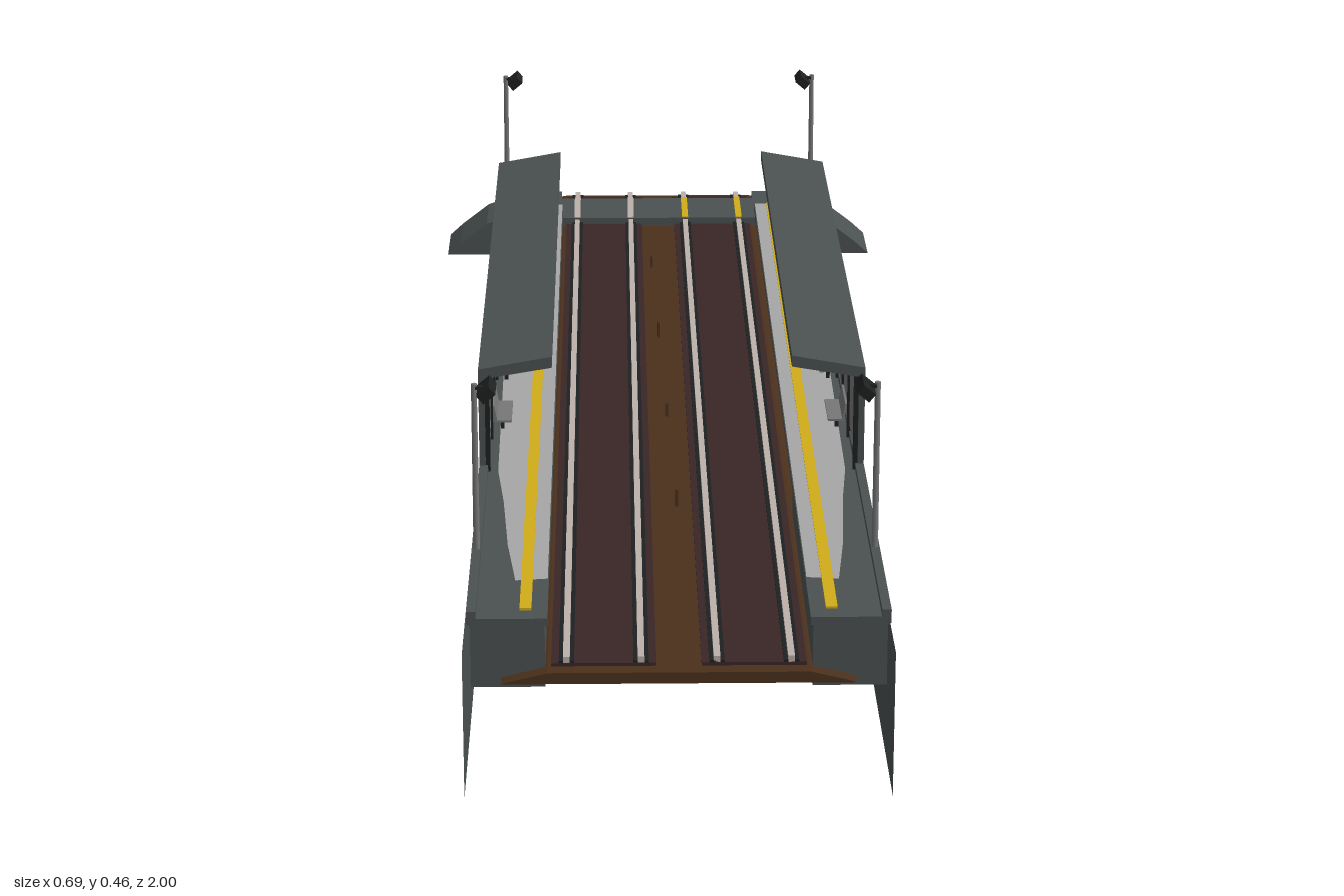
import * as THREE from 'three';

const mat = (name, color, side = THREE.FrontSide) => {
  const m = new THREE.MeshStandardMaterial({ color, side });
  m.name = name;
  return m;
};

export function createModel() {
  const concrete = mat('dark concrete', 0x4b5151);
  const wallMat = mat('wall concrete', 0x4a5050, THREE.DoubleSide);
  const paving = mat('pale paving', 0xa6a6a6);
  const yellow = mat('safety yellow', 0xd0ac18);
  const earth = mat('brown ballast', 0x4a301c);
  const maroon = mat('maroon track bed', 0x3a2526);
  const steel = mat('rail steel', 0xbcb0aa);
  const black = mat('black metal', 0x1e2121);
  const panelGrey = mat('panel grey', 0x777777);

  const model = new THREE.Group();
  model.name = 'railwayStation';
  const add = (parent, name, geo, material) => {
    const m = new THREE.Mesh(geo, material);
    m.name = name;
    parent.add(m);
    return m;
  };
  // Box given by its limits on each axis
  const box = (parent, name, material, x0, x1, y0, y1, z0, z1) => {
    const m = add(parent, name, new THREE.BoxGeometry(x1 - x0, y1 - y0, z1 - z0), material);
    m.position.set((x0 + x1) / 2, (y0 + y1) / 2, (z0 + z1) / 2);
    return m;
  };
  // Section in x and y, drawn out along z
  const section = (parent, name, material, pts, z0, z1) => {
    const shape = new THREE.Shape(pts.map(p => new THREE.Vector2(...p)));
    const m = add(parent, name, new THREE.ExtrudeGeometry(shape, { depth: z1 - z0, bevelEnabled: false }), material);
    m.position.z = z0;
    return m;
  };

  // Track bed
  section(model, 'ballast', earth, [[-0.21, 0.157], [0.21, 0.157], [0.2, 0.16], [0.155, 0.171], [-0.155, 0.171], [-0.2, 0.16]], -1, 1);
  for (const c of [-0.089, 0.089]) {
    box(model, 'trackBed', maroon, c - 0.062, c + 0.062, 0.168, 0.175, -0.98, 0.98);
    for (const s of [-0.044, 0.044]) {
      box(model, 'rail', steel, c + s - 0.004, c + s + 0.004, 0.175, 0.183, -0.98, 0.98);
      box(model, 'railFoot', black, c + s - 0.009, c + s + 0.009, 0.175, 0.178, -0.98, 0.98);
      // Flangeway lines over the crossing
      box(model, 'crossingLine', c > 0 ? yellow : steel, c + s - 0.005, c + s + 0.005, 0.184, 0.187, -0.935, -0.82);
    }
  }
  // Small posts between the tracks
  for (let i = 0; i < 4; i++) {
    const x = -0.014 + i * 0.007;
    box(model, 'trackMarker', earth, x - 0.002, x + 0.002, 0.17, 0.19 + (i % 2) * 0.004, -0.6 + i * 0.35, -0.59 + i * 0.35);
  }

  // Level crossing with sloping ends
  section(model, 'levelCrossing', concrete, [[-0.347, 0.123], [0.347, 0.123], [0.325, 0.143], [0.282, 0.176], [0.257, 0.185],
    [-0.257, 0.185], [-0.282, 0.176], [-0.325, 0.143]], -0.935, -0.82);

  // One side of the station on +x; the other is mirrored
  const buildSide = (s) => {
    const side = new THREE.Group();
    side.name = s > 0 ? 'leftSide' : 'rightSide';
    model.add(side);
    const bx = (name, m, x0, x1, ...r) => s > 0 ? box(side, name, m, x0, x1, ...r) : box(side, name, m, -x1, -x0, ...r);
    const sec = (name, m, pts, z0, z1) =>
      section(side, name, m, pts.map(([x, y]) => [s * x, y]), z0, z1);

    // Retaining wall
    const wall = add(side, 'retainingWall', new THREE.PlaneGeometry(1.96, 0.186), wallMat);
    wall.rotation.y = s * Math.PI / 2;
    wall.position.set(s * 0.256, 0.093, 0);

    // Platform deck, kerb and hollow front block
    bx('platformDeck', concrete, 0.155, 0.247, 0.222, 0.232, -0.735, 0.98);
    bx('platformKerb', concrete, 0.239, 0.25, 0.224, 0.241, -0.735, 0.98);
    bx('blockOuterWall', concrete, 0.24, 0.246, 0.145, 0.223, 0.49, 0.98);
    bx('blockInnerWall', concrete, 0.158, 0.164, 0.145, 0.223, 0.49, 0.98);
    for (const z of [0.49, 0.972]) bx('blockEnd', concrete, 0.164, 0.24, 0.145, 0.223, z, z + 0.008);

    // Supports under the raised deck
    for (const z of [0.03, -0.705]) {
      bx('platformPillar', concrete, 0.238, 0.255, 0.083, 0.223, z - 0.02, z + 0.02);
      bx('platformBeam', concrete, 0.165, 0.238, 0.15, 0.223, z - 0.018, z + 0.018);
    }

    // Stairs down to the crossing, and the block beyond it
    for (let i = 0; i < 4; i++) {
      const top = 0.222 - i * 0.01, z = -0.735 - i * 0.021;
      bx('step', concrete, 0.16, 0.24, top - 0.01, top, z - 0.022, z);
    }
    bx('endBlock', concrete, 0.16, 0.255, 0.145, 0.184, -0.98, -0.935);

    // Paving and yellow line
    const pave = new THREE.Shape([[0.156, -0.86], [0.195, -0.865], [0.207, -0.75], [0.216, -0.6], [0.226, -0.49],
      [0.234, 0.5], [0.226, 0.735], [0.156, 0.735]].map(([x, y]) => new THREE.Vector2(s * x, y)));
    const p = add(side, 'paving', new THREE.ShapeGeometry(pave), paving);
    p.rotation.x = -Math.PI / 2;
    p.position.y = 0.2335;
    bx('safetyLine', yellow, 0.174, 0.188, 0.232, 0.235, -0.735, 0.955);

    // Shelter
    bx('shelterBack', concrete, 0.242, 0.25, 0.232, 0.372, -0.49, 0.49);
    bx('shelterPanel', panelGrey, 0.239, 0.242, 0.25, 0.355, -0.48, 0.48);
    sec('shelterRoof', concrete, [[0.25, 0.359], [0.25, 0.373], [0.155, 0.39], [0.155, 0.375]], -0.49, 0.49);
    for (let i = 0; i <= 8; i++) {
      const z = -0.484 + i * 0.121;
      bx('shelterPost', black, 0.236, 0.242, 0.232, 0.362, z - 0.004, z + 0.004);
    }
    for (let i = 0; i < 6; i++) {
      const z = -0.4 + i * 0.16;
      bx('roofLight', black, 0.158, 0.164, 0.366, 0.375, z - 0.03, z + 0.03);
    }

    // Benches
    for (const z of [-0.3, -0.1, 0.1, 0.3]) {
      bx('benchSeat', panelGrey, 0.212, 0.234, 0.246, 0.249, z - 0.04, z + 0.04);
      sec('benchBack', panelGrey, [[0.231, 0.248], [0.234, 0.248], [0.238, 0.27], [0.235, 0.27]], z - 0.04, z + 0.04);
      for (const d of [-0.025, 0.025]) bx('benchLeg', black, 0.222, 0.227, 0.232, 0.246, z + d - 0.003, z + d + 0.003);
    }

    // Lamp posts with tilted heads
    for (const z of [0.78, -0.71]) {
      const pole = add(side, 'lampPole', new THREE.CylinderGeometry(0.0035, 0.004, 0.225, 8), panelGrey);
      pole.position.set(s * 0.244, 0.3425, z);
      const head = add(side, 'lampHead', new THREE.BoxGeometry(0.019, 0.013, 0.044), black);
      head.position.set(s * 0.229, 0.447, z);
      head.rotation.z = -s * 0.7;
      const arm = add(side, 'lampArm', new THREE.BoxGeometry(0.012, 0.004, 0.006), black);
      arm.position.set(s * 0.239, 0.45, z);
    }
  };
  buildSide(1);
  buildSide(-1);
  return model;
}
